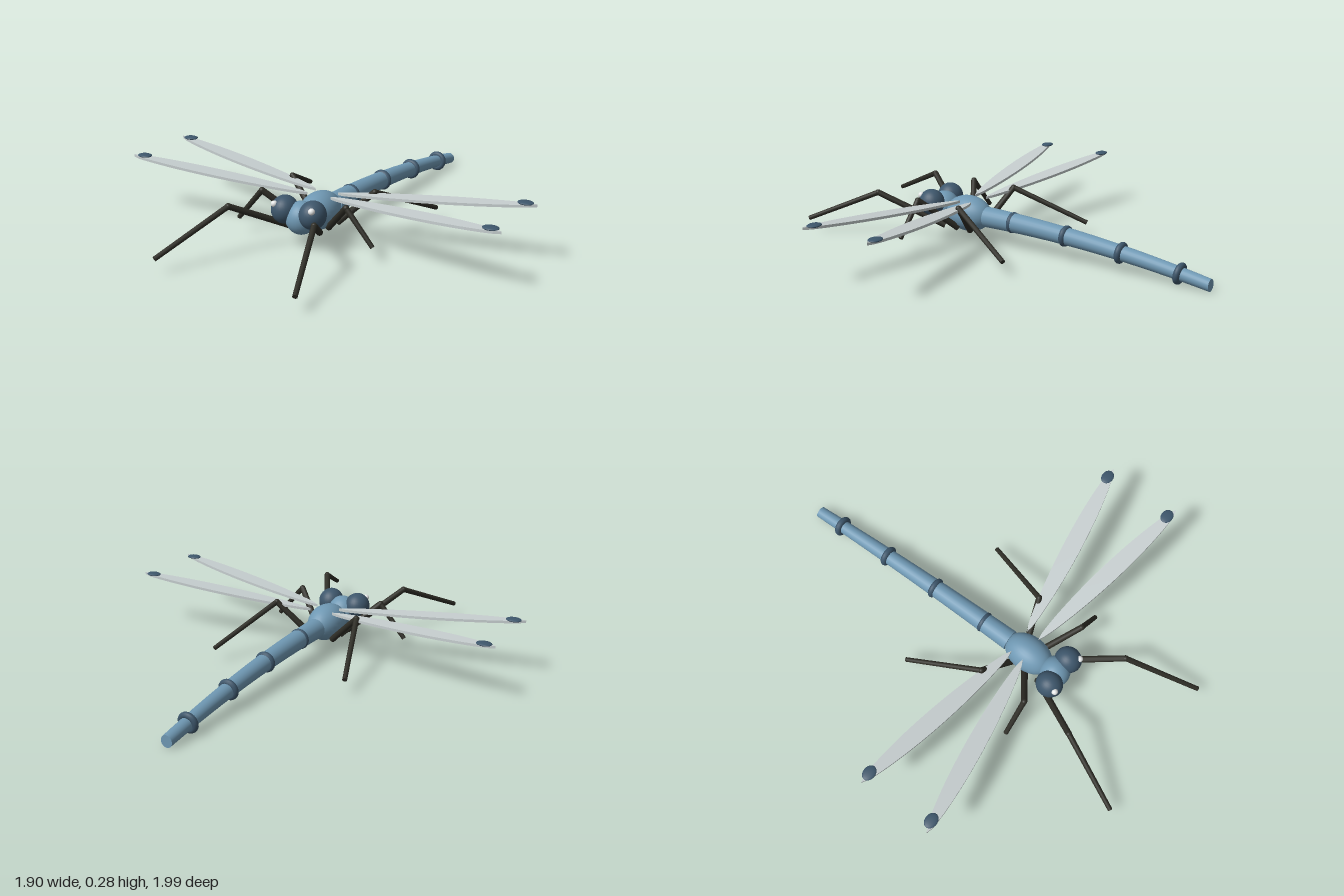
import * as THREE from 'three';

const mat = (name, color) => {
  const m = new THREE.MeshStandardMaterial({ color });
  m.name = name;
  return m;
};

export function createModel() {
  const model = new THREE.Group();
  model.name = 'dragonfly';
  const body = mat('body blue', 0x6f98b3);
  const dark = mat('dark blue', 0x3d566b);
  const wingGrey = mat('wing grey', 0xc6cecf);
  const legBrown = mat('leg brown', 0x2e2d26);
  const white = mat('eye glint white', 0xf2f4f4);

  const add = (name, geometry, material) => {
    const mesh = new THREE.Mesh(geometry, material);
    mesh.name = name;
    model.add(mesh);
    return mesh;
  };
  const ball = (name, material, center, radii) => {
    const mesh = add(name, new THREE.SphereGeometry(1, 28, 18), material);
    mesh.position.set(...center);
    mesh.scale.set(...radii);
  };
  const rod = (name, from, to, r0, r1) => {
    const a = new THREE.Vector3(...from), b = new THREE.Vector3(...to);
    const dir = b.clone().sub(a);
    const mesh = add(name, new THREE.CylinderGeometry(r1, r0, dir.length(), 10), legBrown);
    mesh.position.copy(a).lerp(b, 0.5);
    mesh.quaternion.setFromUnitVectors(new THREE.Vector3(0, 1, 0), dir.normalize());
  };

  // Thorax and head
  ball('thorax', body, [0, 0.137, 0.272], [0.083, 0.086, 0.122]);
  ball('head', body, [0, 0.148, 0.42], [0.072, 0.075, 0.072]);

  // Tapered abdomen drooping towards the tail
  const zStart = 0.165, length = 1.163;
  const sag = (z) => 0.135 - 0.1 * ((zStart - z) / length) ** 2;
  const abdomen = new THREE.CylinderGeometry(0.028, 0.049, length, 24, 24);
  abdomen.rotateX(-Math.PI / 2).translate(0, 0, zStart - length / 2);
  const p = abdomen.attributes.position;
  for (let i = 0; i < p.count; i++) p.setY(i, p.getY(i) + sag(p.getZ(i)));
  add('abdomen', abdomen, body);

  // Dark rings around the abdomen
  for (const z of [0.015, -0.275, -0.563, -0.852]) {
    const ring = add('abdomenRing', new THREE.TorusGeometry(0.035, 0.015, 12, 28), dark);
    ring.position.set(0, sag(z), z);
    ring.rotation.x = -Math.atan((0.2 * (zStart - z)) / length ** 2);
  }

  // Wing outline along a slanted centre line, extruded thin and raised to the tip
  const wing = (side, zRoot, zTip) => {
    const n = 28, edge = (t, s) => {
      const w = 0.042 * Math.max(0, Math.sin(Math.PI * t ** 1.1)) ** 0.55;
      return new THREE.Vector2(side * (0.06 + 0.888 * t), -(zRoot + (zTip - zRoot) * t + s * w));
    };
    const pts = [];
    for (let i = 0; i < n; i++) pts.push(edge(i / n, 1));
    for (let i = n; i > 0; i--) pts.push(edge(i / n, -1));
    const geo = new THREE.ExtrudeGeometry(new THREE.Shape(pts), { depth: 0.012, bevelEnabled: false });
    geo.rotateX(-Math.PI / 2);
    const q = geo.attributes.position;
    for (let i = 0; i < q.count; i++) q.setY(i, q.getY(i) + 0.196 + 0.078 * Math.abs(q.getX(i)));
    geo.computeVertexNormals();
    return geo;
  };

  // Hip, knee and foot of the three legs of one side
  const legs = [
    ['frontLeg', [0.06, 0.075, 0.37], [0.22, 0.23, 0.65], [0.352, 0.077, 0.985]],
    ['middleLeg', [0.06, 0.075, 0.295], [0.22, 0.23, 0.405], [0.352, 0.077, 0.405]],
    ['backLeg', [0.06, 0.075, 0.222], [0.22, 0.23, 0.165], [0.352, 0.077, -0.175]],
  ];

  for (const side of [1, -1]) {
    const label = side > 0 ? 'left' : 'right';
    const mirror = ([x, y, z]) => [side * x, y, z];

    ball(label + 'Eye', dark, mirror([0.073, 0.18, 0.44]), [0.06, 0.064, 0.064]);
    ball(label + 'EyeGlint', white, mirror([0.097, 0.214, 0.485]), [0.015, 0.015, 0.015]);

    add(label + 'ForeWing', wing(side, 0.28, 0.426), wingGrey);
    add(label + 'HindWing', wing(side, 0.215, 0.068), wingGrey);
    for (const z of [0.41, 0.07])
      ball(label + 'WingSpot', dark, mirror([0.895, 0.281, z]), [0.036, 0.008, 0.028]);

    for (const [name, hip, knee, foot] of legs) {
      rod(label + name + 'Upper', mirror(hip), mirror(knee), 0.016, 0.014);
      rod(label + name + 'Lower', mirror(knee), mirror(foot), 0.013, 0.011);
      ball(label + name + 'Knee', legBrown, mirror(knee), [0.014, 0.014, 0.014]);
    }
  }
  return model;
}
